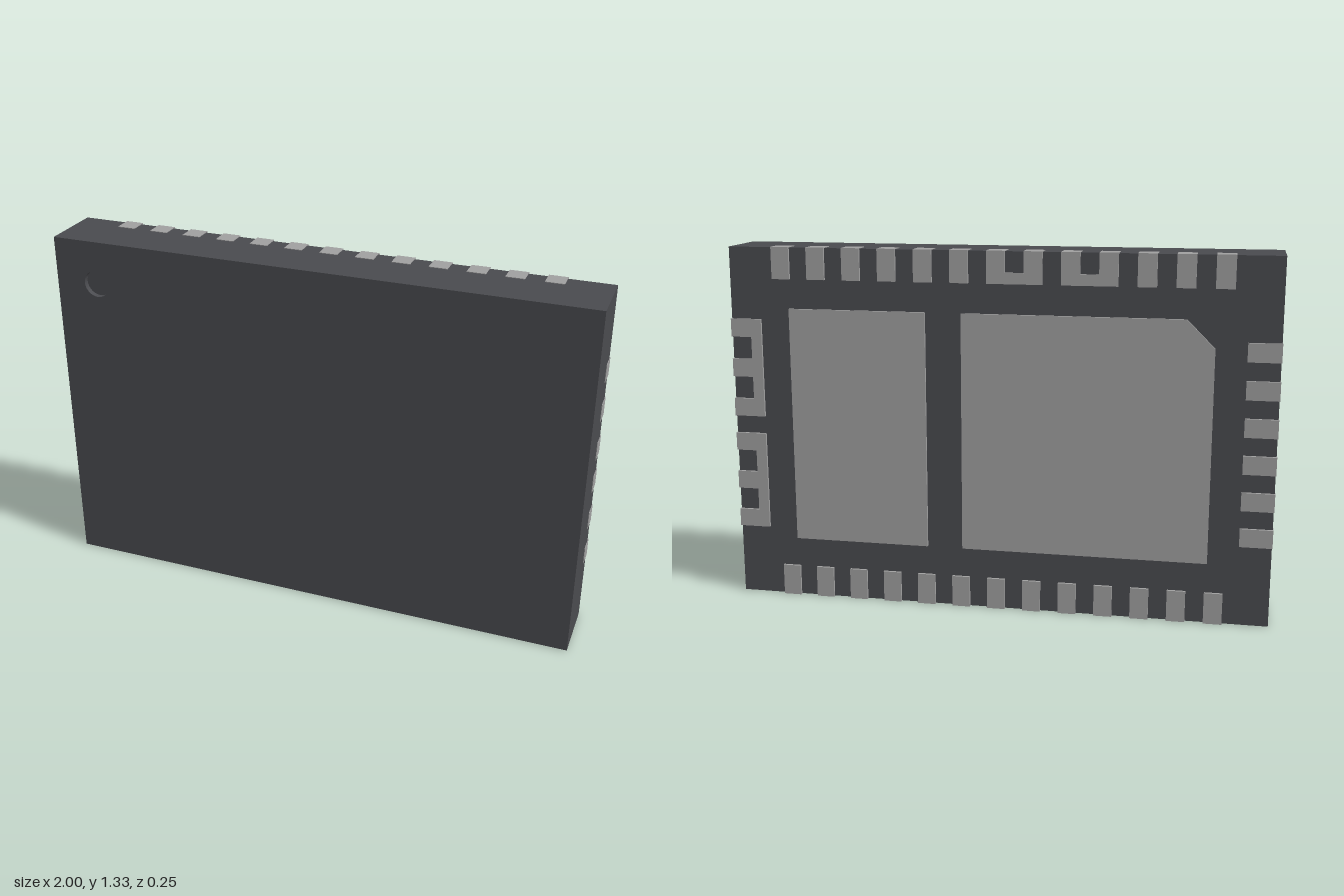
import * as THREE from 'three';

const W = 2, H = 1.333, LIP = 0.002;          // overall size, lead overhang at the edges
const FRONT = 0.125, BODY_BACK = -0.115, PAD_BACK = -0.125, LEAD_FRONT = -0.057;
const LEAD_W = 0.067, LEAD_L = 0.117, BAR = 0.04, PITCH = 0.1333;

const bodyMat = new THREE.MeshStandardMaterial({ color: 0x4a4b4f });
const metalMat = new THREE.MeshStandardMaterial({ color: 0xa0a0a0 });

function polygon(points) {
  return new THREE.Shape(points.map(([x, y]) => new THREE.Vector2(x, y)));
}

// Flat outline extruded between two z planes
function slab(name, shape, z0, z1, material) {
  const geo = new THREE.ExtrudeGeometry(shape, { depth: z1 - z0, bevelEnabled: false, curveSegments: 24 });
  const mesh = new THREE.Mesh(geo, material);
  mesh.position.z = z0;
  mesh.name = name;
  return mesh;
}

// Box given by its x and y ranges, as deep as a lead
function leadBox(name, x0, x1, y0, y1) {
  const mesh = new THREE.Mesh(new THREE.BoxGeometry(x1 - x0, y1 - y0, LEAD_FRONT - PAD_BACK), metalMat);
  mesh.position.set((x0 + x1) / 2, (y0 + y1) / 2, (LEAD_FRONT + PAD_BACK) / 2);
  mesh.name = name;
  return mesh;
}

export function createModel() {
  const model = new THREE.Group();
  model.name = 'chipPackage';
  const h = LEAD_W / 2;

  // Moulded body with a round orientation dimple
  const bx = W / 2 - LIP, by0 = LIP, by1 = H - LIP;
  const outline = polygon([[-bx, by0], [bx, by0], [bx, by1], [-bx, by1]]);
  const dot = [-0.835, 1.17, 0.05];
  outline.holes.push(new THREE.Path().absarc(...dot, 0, Math.PI * 2, true));
  model.add(slab('body', outline, BODY_BACK, FRONT, bodyMat));
  const dimple = new THREE.Shape().absarc(...dot, 0, Math.PI * 2, false);
  model.add(slab('dimpleFloor', dimple, BODY_BACK, FRONT - 0.02, bodyMat));

  // Two large pads on the back, one with a chamfered corner
  const p0 = 0.228, p1 = 1.108;
  model.add(slab('smallPad', polygon([[0.26, p0], [0.773, p0], [0.773, p1], [0.26, p1]]),
    PAD_BACK, BODY_BACK + 0.02, metalMat));
  model.add(slab('largePad', polygon([[-0.773, p0], [0.127, p0], [0.127, p1], [-0.673, p1], [-0.773, p1 - 0.1]]),
    PAD_BACK, BODY_BACK + 0.02, metalMat));

  // Leads along the top and bottom edges
  for (let i = -6; i <= 6; i++) {
    const x = i * PITCH;
    model.add(leadBox('topLead', x - h, x + h, H - LEAD_L, H));
    model.add(leadBox('bottomLead', x - h, x + h, 0, LEAD_L));
  }
  // Bars joining two pairs of top leads
  for (const i of [-1, -3]) {
    model.add(leadBox('topLeadBar', i * PITCH + h, (i + 1) * PITCH - h, H - LEAD_L, H - LEAD_L + BAR));
  }

  // Separate leads on the -x edge
  for (let i = 0; i < 6; i++) {
    const y = 0.333 + i * PITCH;
    model.add(leadBox('rightLead', -1, -1 + LEAD_L, y - h, y + h));
  }

  // Two groups of three joined leads on the +x edge
  for (const mid of [0.45, 0.883]) {
    const group = new THREE.Group();
    group.name = 'joinedLeads';
    for (const dy of [-0.15, 0, 0.15]) {
      group.add(leadBox('leftLead', 1 - LEAD_L + BAR, 1, mid + dy - h, mid + dy + h));
    }
    group.add(leadBox('leftLeadBar', 1 - LEAD_L, 1 - LEAD_L + BAR, mid - 0.15 - h, mid + 0.15 + h));
    model.add(group);
  }
  return model;
}
